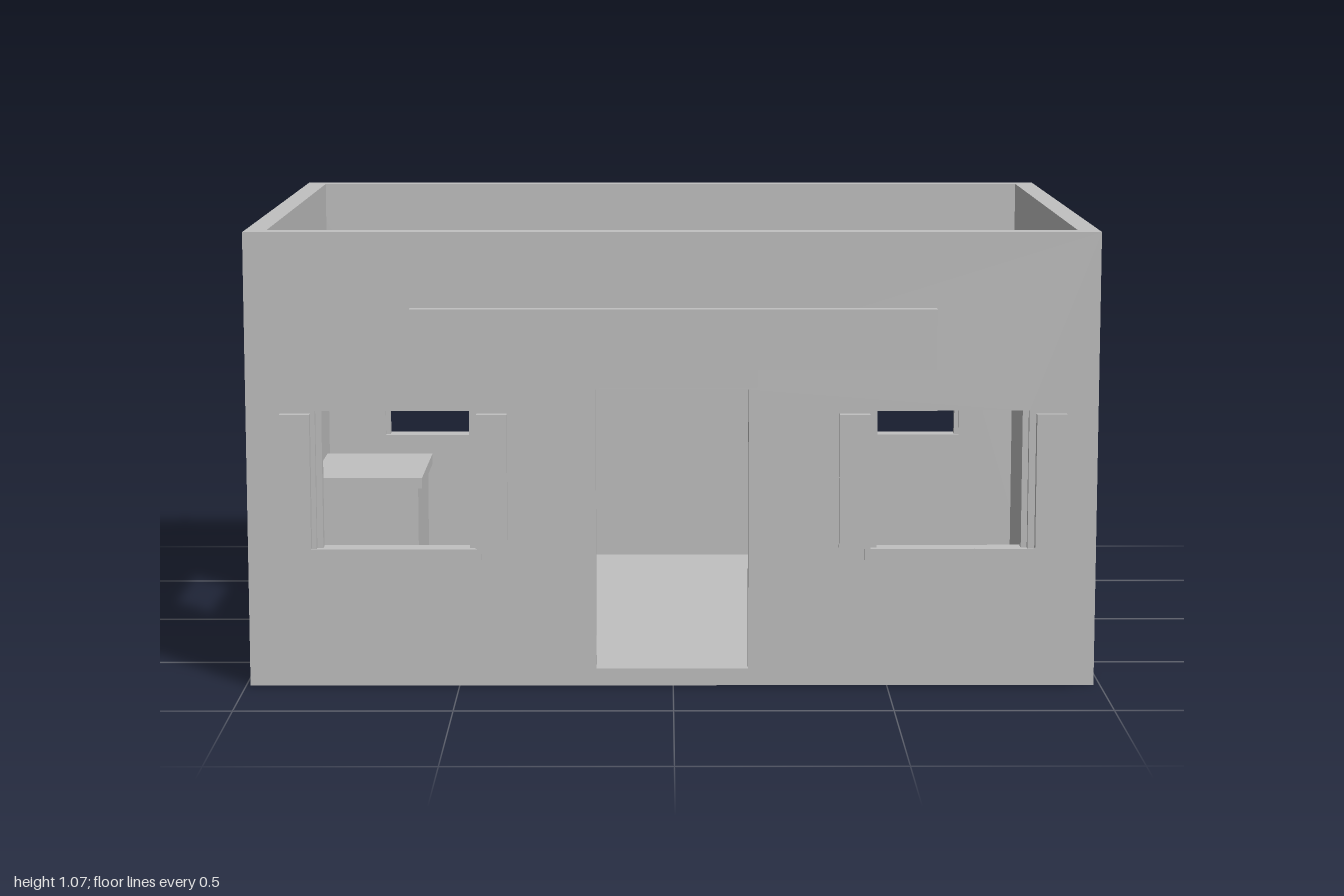
import * as THREE from 'three';

const plaster = new THREE.MeshStandardMaterial({ color: 0xc0c0c0, side: THREE.DoubleSide });
plaster.name = 'plaster grey';

// Outer shell limits
const X0 = -0.99, X1 = 0.985, Z0 = -0.72, Z1 = 0.746, H = 1.065, T = 0.05;

export function createModel() {
  const house = new THREE.Group();
  house.name = 'house';

  const add = (name, geometry) => {
    const mesh = new THREE.Mesh(geometry, plaster);
    mesh.name = name;
    house.add(mesh);
    return mesh;
  };

  // Box given by its limits on each axis
  const box = (name, xa, xb, ya, yb, za, zb) => {
    const g = new THREE.BoxGeometry(xb - xa, yb - ya, zb - za);
    g.translate((xa + xb) / 2, (ya + yb) / 2, (za + zb) / 2);
    return add(name, g);
  };

  // Wall panel with rectangular openings [u0, u1, y0, y1]
  const panel = (u0, u1, openings) => {
    const rect = (P, a, b, c, d) => {
      const p = new P();
      p.moveTo(a, c).lineTo(b, c).lineTo(b, d).lineTo(a, d).closePath();
      return p;
    };
    const shape = rect(THREE.Shape, u0, u1, 0, H);
    for (const [a, b, c, d] of openings) shape.holes.push(rect(THREE.Path, a, b, c, d));
    return new THREE.ExtrudeGeometry(shape, { depth: T, bevelEnabled: false });
  };

  // Leaves out the two open end faces of a long wall
  const openEnds = (g) => {
    const p = g.attributes.position, n = g.attributes.normal, pos = [], nor = [];
    for (let i = 0; i < p.count; i += 3) {
      const atEnd = (x) => [0, 1, 2].every((k) => Math.abs(p.getX(i + k) - x) < 1e-4);
      if (atEnd(X0) || atEnd(X1)) continue;
      for (let k = i; k < i + 3; k++) {
        pos.push(p.getX(k), p.getY(k), p.getZ(k));
        nor.push(n.getX(k), n.getY(k), n.getZ(k));
      }
    }
    const out = new THREE.BufferGeometry();
    out.setAttribute('position', new THREE.Float32BufferAttribute(pos, 3));
    out.setAttribute('normal', new THREE.Float32BufferAttribute(nor, 3));
    return out;
  };

  // Floor slab
  box('floor', X0, X1, 0, 0.04, Z0 + 0.002, Z1 - 0.002);

  // Front and back walls, hollow at their ends
  const front = panel(X0, X1, [
    [-0.83, -0.46, 0.325, 0.65], [0.46, 0.825, 0.325, 0.65], [-0.18, 0.175, 0.04, 0.7],
  ]);
  add('frontWall', openEnds(front)).position.z = Z1 - T;
  const back = panel(X0, X1, [[-0.785, -0.415, 0.375, 0.66], [0.425, 0.79, 0.375, 0.66]]);
  add('backWall', openEnds(back)).position.z = Z0;

  // Side walls between them (u runs along -z)
  const sides = [
    ['leftWall', X1 - T, [-0.14, 0.22, 0.04, 0.7]],
    ['rightWall', X0, [-0.25, 0.17, 0.375, 0.71]],
  ];
  for (const [name, x, hole] of sides) {
    const g = panel(-(Z1 - T), -(Z0 + T), [hole]);
    g.rotateY(Math.PI / 2);
    add(name, g).position.x = x;
  }

  // Front windows: sill, side posts and shutters
  for (const [a, b] of [[-0.83, -0.46], [0.46, 0.825]]) {
    box('frontSill', a - 0.014, b + 0.014, 0.3, 0.325, Z1 - T, Z1 + 0.005);
    box('frontWindowPost', a, a + 0.014, 0.325, 0.65, Z1 - 0.04, Z1 - 0.015);
    box('frontWindowPost', b - 0.014, b, 0.325, 0.65, Z1 - 0.04, Z1 - 0.015);
  }
  for (const s of [-1, 1]) {
    for (const c of [0.42, 0.875]) {
      box('shutter', s * c - 0.035, s * c + 0.035, 0.33, 0.645, 0.754, 0.775);
    }
  }

  // Back windows
  for (const [a, b] of [[-0.785, -0.415], [0.425, 0.79]]) {
    box('backSill', a - 0.015, b + 0.015, 0.35, 0.375, Z0 - 0.005, Z0 + T);
    box('backWindowPost', a, a + 0.012, 0.375, 0.66, Z0 + 0.015, Z0 + 0.04);
    box('backWindowPost', b - 0.012, b, 0.375, 0.66, Z0 + 0.015, Z0 + 0.04);
  }

  // Window in the right wall
  box('sideSill', -1, X0 + T, 0.345, 0.375, -0.185, 0.265);
  box('sideWindowPost', X0 + 0.015, X0 + 0.04, 0.375, 0.71, -0.17, -0.155);
  box('sideWindowPost', X0 + 0.015, X0 + 0.04, 0.375, 0.71, 0.235, 0.25);

  // Door lintels and the blank board above the entrance
  box('frontDoorLintel', -0.205, 0.195, 0.705, 0.75, Z1 - 0.04, Z1 + 0.006);
  box('sideDoorLintel', X1 - 0.04, 1, 0.702, 0.75, -0.24, 0.16);
  box('frontBoard', -0.607, 0.607, 0.75, 0.89, 0.752, 0.782);

  // Counter inside the back corner
  box('counterBody', X0 + T, -0.665, 0.04, 0.305, -0.6, -0.225);
  box('counterTop', X0 + T, -0.653, 0.305, 0.333, -0.605, -0.207);

  // Drainpipes with clamps on the back
  for (const x of [-0.925, 0.92]) {
    const pipe = new THREE.CylinderGeometry(0.016, 0.016, 0.985, 12);
    add('drainpipe', pipe).position.set(x, 0.5475, -0.741);
    for (const y of [0.165, 0.672]) {
      const clamp = new THREE.CylinderGeometry(0.019, 0.019, 0.018, 12);
      add('pipeClamp', clamp).position.set(x, y, -0.763);
    }
  }

  return house;
}
